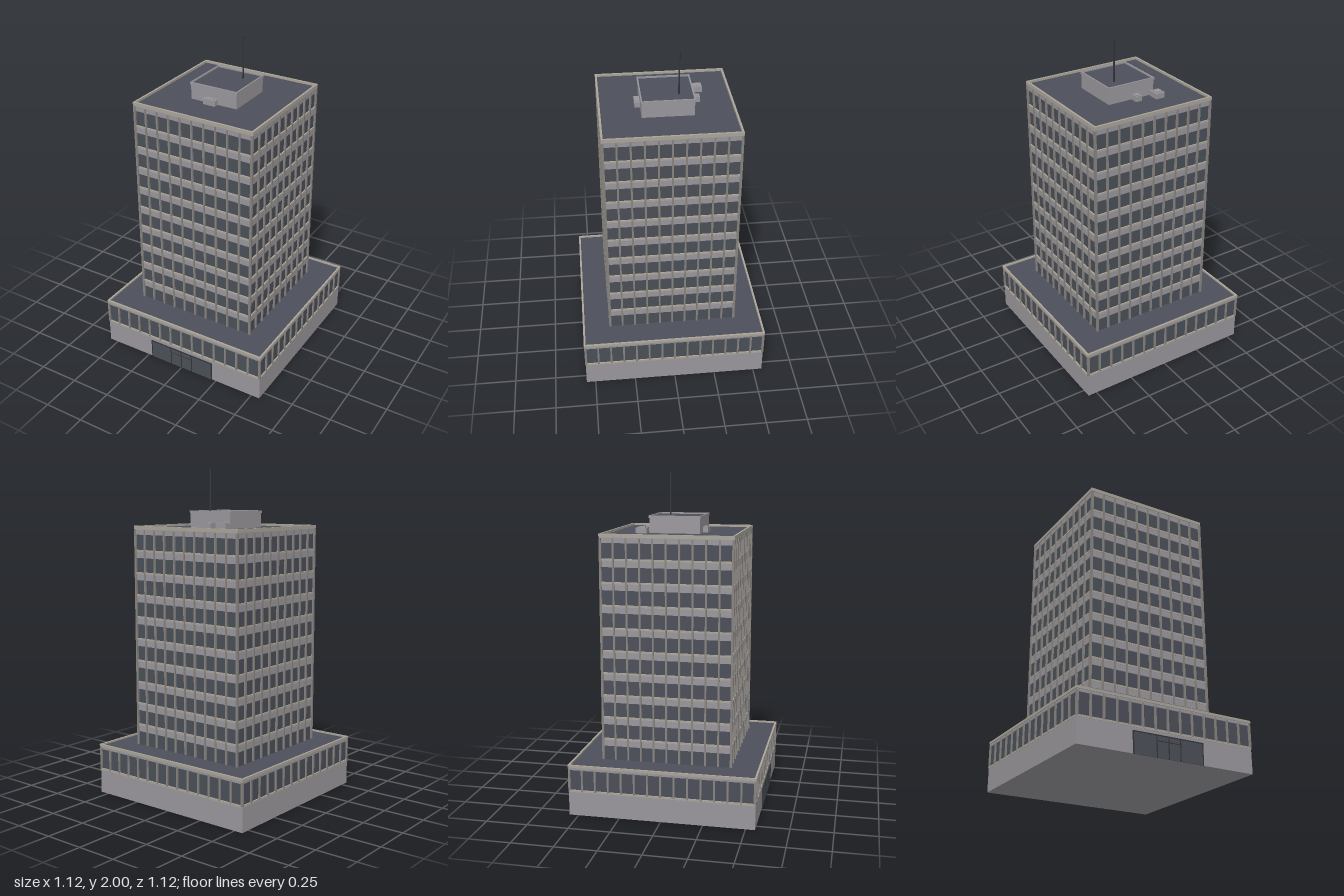
import * as THREE from 'three';

const mat = (name, color) => {
  const m = new THREE.MeshStandardMaterial({ color });
  m.name = name;
  return m;
};

export function createModel() {
  const model = new THREE.Group();
  model.name = 'officeTower';
  const concrete = mat('concrete', 0x99969b);
  const glass = mat('darkGlass', 0x4a4e57);
  const roofing = mat('roofing', 0x4c505a);
  const trim = mat('beigeTrim', 0xaaa498);
  const metal = mat('mullionGrey', 0x87837f);
  const dark = mat('darkMetal', 0x33353a);

  // Box given by its centre in x and z and its bottom and top heights
  function box(name, material, w, d, y0, y1, x = 0, z = 0, parent = model) {
    const mesh = new THREE.Mesh(new THREE.BoxGeometry(w, y1 - y0, d), material);
    mesh.position.set(x, (y0 + y1) / 2, z);
    mesh.name = name;
    parent.add(mesh);
    return mesh;
  }

  // Square ring with an open middle, for parapets
  function ring(name, material, half, width, y0, y1) {
    const square = (P, r) => new P([[-r, -r], [r, -r], [r, r], [-r, r]].map(([x, y]) => new THREE.Vector2(x, y)));
    const shape = square(THREE.Shape, half);
    shape.holes.push(square(THREE.Path, half - width));
    const geometry = new THREE.ExtrudeGeometry(shape, { depth: y1 - y0, bevelEnabled: false });
    geometry.rotateX(-Math.PI / 2);
    const mesh = new THREE.Mesh(geometry, material);
    mesh.position.y = y0;
    mesh.name = name;
    model.add(mesh);
  }

  // Vertical bars evenly spaced around all four sides
  function mullions(name, half, bays, y0, y1) {
    for (let side = 0; side < 4; side++) {
      const group = new THREE.Group();
      group.name = name;
      group.rotation.y = side * Math.PI / 2;
      for (let i = 0; i <= bays; i++) {
        const reach = half - 0.006;
        const x = -reach + (2 * reach * i) / bays;
        box('mullion', metal, 0.011, 0.014, y0, y1, x, half - 0.007, group);
      }
      model.add(group);
    }
  }

  // Podium
  box('podiumWall', concrete, 1.112, 1.112, 0, 0.145);
  box('podiumSill', trim, 1.116, 1.116, 0.145, 0.157);
  box('podiumGlass', glass, 1.1, 1.1, 0.157, 0.28);
  box('podiumFascia', concrete, 1.112, 1.112, 0.28, 0.296);
  box('podiumRoof', roofing, 1.104, 1.104, 0.296, 0.301);
  ring('podiumParapet', trim, 0.56, 0.012, 0.296, 0.311);
  mullions('podiumMullions', 0.559, 14, 0.15, 0.288);

  // Entrance glazing with door frames
  box('entranceGlass', glass, 0.44, 0.004, 0, 0.125, 0, 0.557);
  for (const x of [-0.22, -0.075, 0, 0.075, 0.22]) {
    box('entranceFrame', dark, 0.006, 0.006, 0, 0.125, x, 0.558);
  }
  box('entranceHeader', dark, 0.446, 0.006, 0.12, 0.126, 0, 0.558);
  box('doorHeader', dark, 0.15, 0.006, 0.09, 0.094, 0, 0.558);

  // Tower glass with a spandrel band at every floor
  const floor = 0.135;
  box('towerGlass', glass, 0.768, 0.768, 0.3, 1.61);
  for (let i = 0; i < 9; i++) {
    const y = 0.388 + i * floor;
    box('spandrel', concrete, 0.78, 0.78, y, y + 0.038);
    box('spandrelSill', trim, 0.784, 0.784, y + 0.038, y + 0.049);
  }
  mullions('towerMullions', 0.395, 10, 0.305, 1.636);

  // Tower roof and parapet
  box('topFascia', concrete, 0.782, 0.782, 1.608, 1.642);
  box('towerRoof', roofing, 0.77, 0.77, 1.642, 1.647);
  ring('towerParapet', trim, 0.395, 0.012, 1.64, 1.661);

  // Plant room
  box('plantRoom', concrete, 0.304, 0.304, 1.645, 1.738);
  box('plantRoomRoof', roofing, 0.3, 0.3, 1.738, 1.742);
  ring('plantRoomRim', concrete, 0.156, 0.008, 1.736, 1.751);

  // Rooftop ventilation units: x, z, width, depth
  for (const [x, z, w, d] of [[-0.151, -0.196, 0.058, 0.066], [-0.022, -0.178, 0.04, 0.046], [-0.012, 0.168, 0.078, 0.032]]) {
    box('ventUnit', concrete, w, d, 1.645, 1.68, x, z);
    box('ventLid', concrete, w * 0.65, d * 0.65, 1.68, 1.685, x, z);
  }

  // Mast
  const mast = new THREE.Mesh(new THREE.CylinderGeometry(0.005, 0.005, 0.26, 8), dark);
  mast.position.set(0.065, 1.87, -0.07);
  mast.name = 'mast';
  model.add(mast);

  return model;
}
